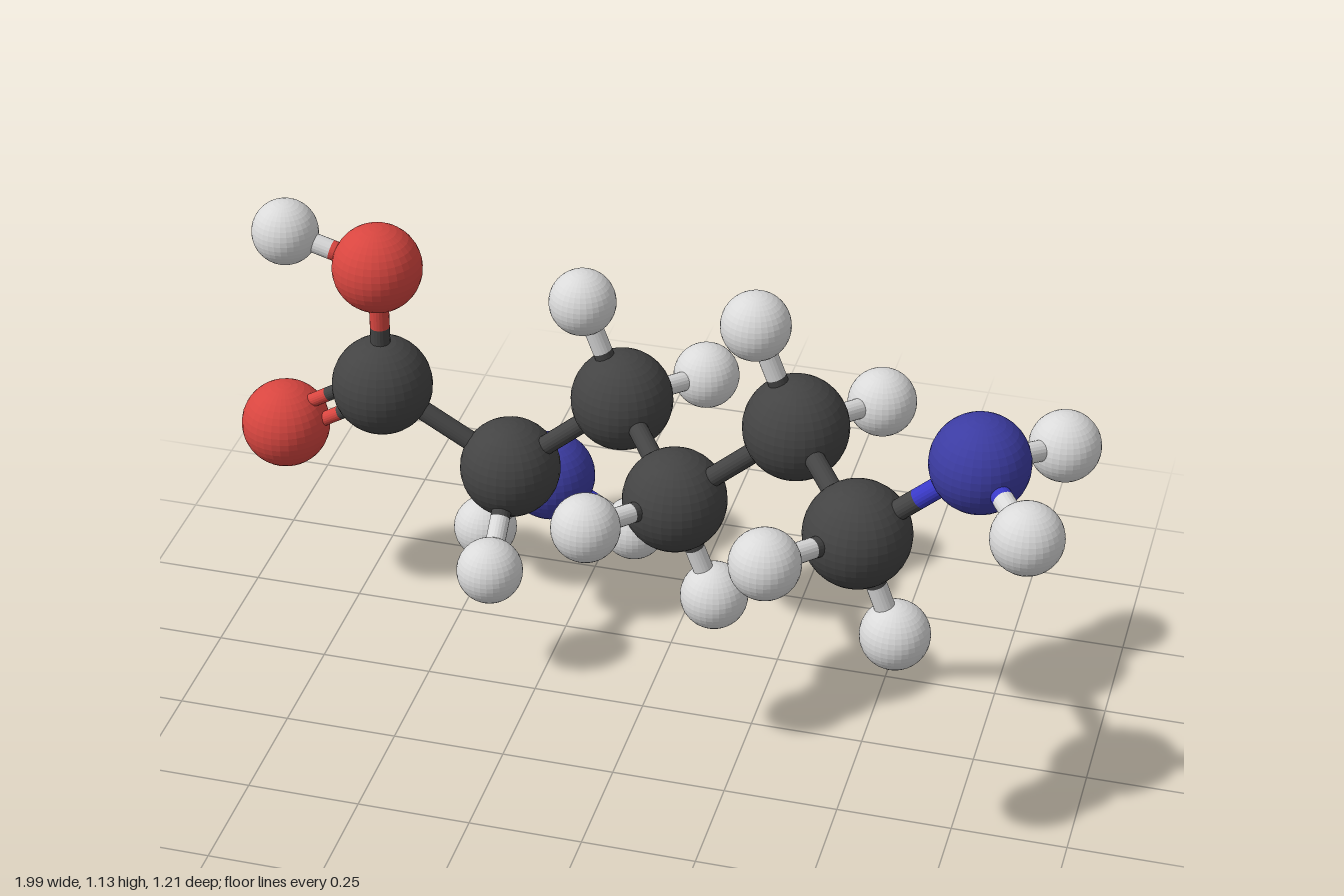
import * as THREE from 'three';

const flat = (name, color) => {
  const m = new THREE.MeshStandardMaterial({ color, flatShading: true });
  m.name = name;
  return m;
};

export function createModel() {
  const group = new THREE.Group();
  group.name = 'molecule';

  const charcoal = flat('charcoal', 0x444444);
  const blue = flat('blue', 0x3c3ca2);
  const brightBlue = flat('bright blue', 0x3a3ac8);
  const red = flat('red', 0xd84640);
  const white = flat('white', 0xdadada);

  // Kinds of atom: ball radius, ball colour, bond colour
  const kinds = {
    C: { name: 'carbon', r: 0.113, ball: charcoal, stick: charcoal },
    N: { name: 'nitrogen', r: 0.103, ball: blue, stick: brightBlue },
    O: { name: 'oxygen', r: 0.1, ball: red, stick: red },
    H: { name: 'hydrogen', r: 0.074, ball: white, stick: white },
  };
  for (const k of Object.values(kinds)) k.geometry = new THREE.SphereGeometry(k.r, 32, 20);

  // Kind, position, and index of the atom each one is bonded to
  const atoms = [
    ['C', -0.665, 0.60, -0.235, -1],   // 0 acid end
    ['O', -0.90, 0.46, -0.235, 0, 2],  // 1 double bonded
    ['O', -0.665, 0.90, -0.235, 0],    // 2
    ['H', -0.875, 0.96, -0.235, 2],
    ['C', -0.37, 0.43, -0.235, 0],     // 4 chain
    ['N', -0.355, 0.242, -0.5, 4],     // 5
    ['H', -0.515, 0.077, -0.49, 5],
    ['H', -0.155, 0.13, -0.5, 5],
    ['H', -0.36, 0.285, -0.032, 4],
    ['C', -0.11, 0.652, -0.235, 4],    // 9 chain
    ['H', -0.198, 0.885, -0.235, 9],
    ['H', 0.03, 0.615, -0.438, 9],
    ['C', 0.083, 0.60, 0.045, 9],      // 12 chain
    ['H', -0.057, 0.635, 0.248, 12],
    ['H', 0.172, 0.368, 0.045, 12],
    ['C', 0.343, 0.826, 0.045, 12],    // 15 chain
    ['H', 0.253, 1.058, 0.045, 15],
    ['H', 0.484, 0.787, -0.16, 15],
    ['C', 0.537, 0.776, 0.326, 15],    // 18 chain
    ['H', 0.393, 0.812, 0.53, 18],
    ['H', 0.623, 0.542, 0.326, 18],
    ['N', 0.778, 0.987, 0.326, 18],    // 21 amine end
    ['H', 0.92, 0.942, 0.15, 21],
    ['H', 0.908, 0.953, 0.513, 21],
  ];

  const up = new THREE.Vector3(0, 1, 0);
  const stick = (a, b, radius, material, name) => {
    const d = b.clone().sub(a);
    const mesh = new THREE.Mesh(
      new THREE.CylinderGeometry(radius, radius, d.length(), 20, 1, true), material);
    mesh.position.copy(a).lerp(b, 0.5);
    mesh.quaternion.setFromUnitVectors(up, d.normalize());
    mesh.name = name;
    group.add(mesh);
  };

  const place = (i) => new THREE.Vector3(...atoms[i].slice(1, 4));

  atoms.forEach(([kind, , , , parent, order = 1], i) => {
    const k = kinds[kind];
    const p = place(i);
    const ball = new THREE.Mesh(k.geometry, k.ball);
    ball.position.copy(p);
    ball.name = `${k.name}Atom`;
    group.add(ball);
    if (parent < 0) return;

    // Each bond is two half sticks, coloured after the atom they touch
    const q = place(parent);
    const other = kinds[atoms[parent][0]];
    const side = q.clone().sub(p).cross(new THREE.Vector3(0, 0, 1)).normalize();
    const offsets = order === 2 ? [-0.026, 0.026] : [0];
    const radius = order === 2 ? 0.016 : 0.022;
    for (const o of offsets) {
      const a = p.clone().addScaledVector(side, o);
      const b = q.clone().addScaledVector(side, o);
      const mid = a.clone().lerp(b, 0.5);
      stick(a, mid, radius, k.stick, `${k.name}Bond`);
      stick(mid, b, radius, other.stick, `${other.name}Bond`);
    }
  });

  return group;
}
